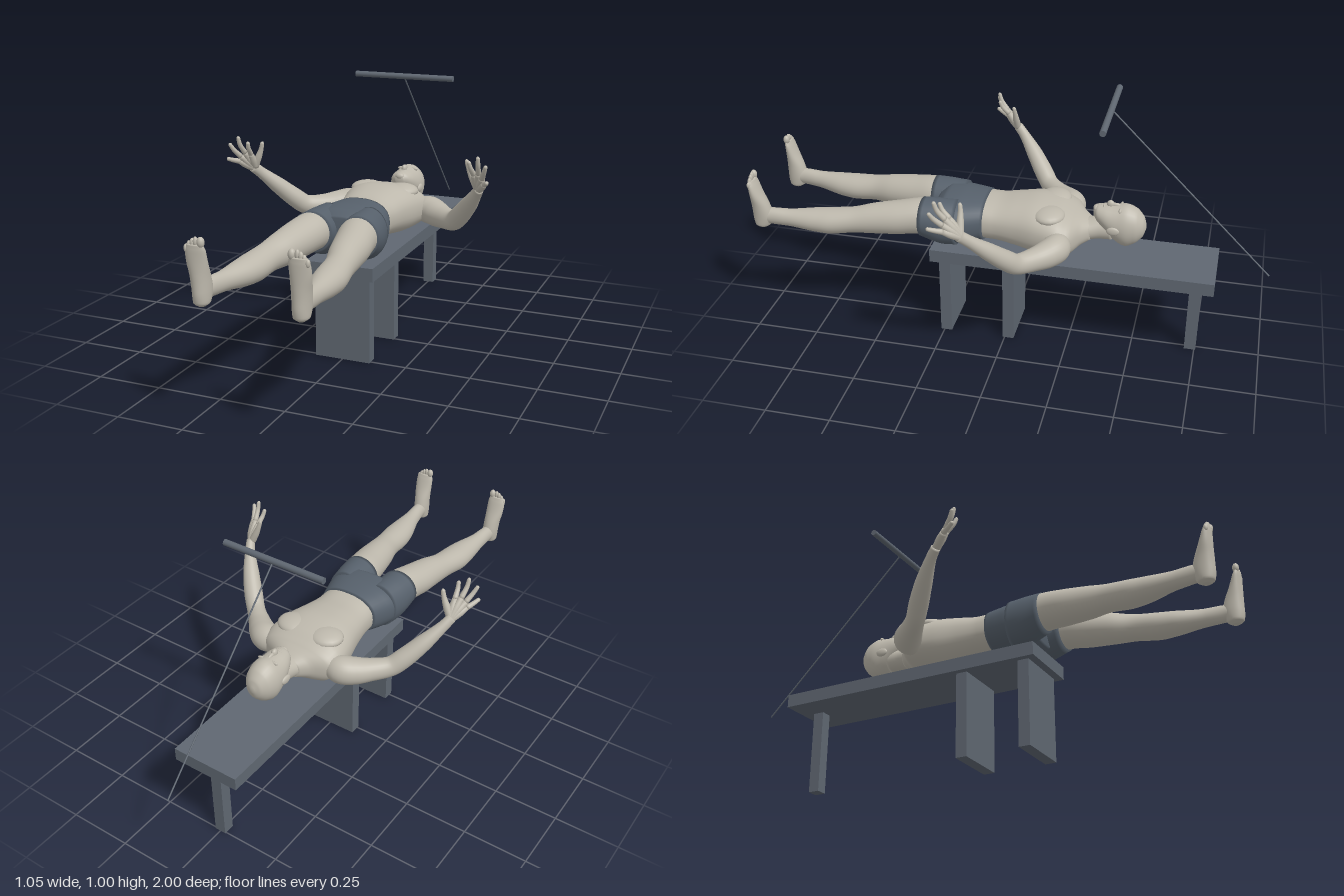
import * as THREE from 'three';

const mat = (name, color) => Object.assign(new THREE.MeshStandardMaterial({ color }), { name });
const V = (x, y, z) => new THREE.Vector3(x, y, z);
const X = V(1, 0, 0), Y = V(0, 1, 0), Z = V(0, 0, 1);

// Smooth skin over oval cross-sections [x, y, z, halfWidth, halfHeight].
// Rings lie across `axis`, or across the path itself when axis is null.
function loft(sections, axis, ref, power = 2, sides = 28, steps = 5) {
  const path = new THREE.CatmullRomCurve3(sections.map(s => V(s[0], s[1], s[2])));
  const size = new THREE.CatmullRomCurve3(sections.map(s => V(s[3], s[4], 0)));
  const n = (sections.length - 1) * steps, pos = [], idx = [];
  const ring = (t, k) => {
    const c = path.getPoint(t), r = size.getPoint(t);
    const tan = axis || path.getTangent(t);
    const side = V().crossVectors(ref, tan).normalize();
    const up = V().crossVectors(tan, side);
    for (let j = 0; j < sides; j++) {
      const a = j / sides * Math.PI * 2, co = Math.cos(a), si = Math.sin(a);
      const u = Math.sign(co) * Math.abs(co) ** (2 / power) * r.x * k;
      const v = Math.sign(si) * Math.abs(si) ** (2 / power) * r.y * k;
      pos.push(c.x + side.x * u + up.x * v, c.y + side.y * u + up.y * v, c.z + side.z * u + up.z * v);
    }
  };
  ring(0, 0);
  for (let i = 0; i <= n; i++) ring(i / n, 1);
  ring(1, 0);
  for (let i = 0; i < n + 2; i++) for (let j = 0; j < sides; j++) {
    const a = i * sides + j, b = i * sides + (j + 1) % sides;
    idx.push(a, b, b + sides, a, b + sides, a + sides);
  }
  const g = new THREE.BufferGeometry();
  g.setAttribute('position', new THREE.Float32BufferAttribute(pos, 3));
  g.setIndex(idx);
  g.computeVertexNormals();
  return g;
}

export function createModel() {
  const model = new THREE.Group();
  const skin = mat('skin', 0xbdb8ac), cloth = mat('shortsCloth', 0x56606b), paint = mat('benchPaint', 0x5f6771);

  const add = (parent, name, geo, m, x = 0, y = 0, z = 0) => {
    const mesh = new THREE.Mesh(geo, m);
    mesh.name = name;
    mesh.position.set(x, y, z);
    parent.add(mesh);
    return mesh;
  };
  const group = (name) => {
    const g = new THREE.Group();
    g.name = name;
    model.add(g);
    return g;
  };
  const blob = (parent, name, x, y, z, rx, ry, rz) =>
    add(parent, name, new THREE.SphereGeometry(1, 20, 14), skin, x, y, z).scale.set(rx, ry, rz);
  const flip = (s, sections) => sections.map(([x, ...rest]) => [x * s, ...rest]);

  // Bench: slab, two wide panel legs and one rear post
  const bench = group('bench');
  add(bench, 'benchTop', new THREE.BoxGeometry(0.27, 0.052, 1.1), paint, 0, 0.359, -0.255);
  for (const z of [0.242, -0.014])
    add(bench, 'panelLeg', new THREE.BoxGeometry(0.22, 0.336, 0.045), paint, 0, 0.168, z);
  add(bench, 'rearLeg', new THREE.BoxGeometry(0.045, 0.336, 0.045), paint, 0, 0.168, -0.733);

  // Pull bar on a slanted cable
  const pull = group('pullBar');
  const bar = add(pull, 'handleBar', new THREE.CylinderGeometry(0.012, 0.012, 0.42, 20), paint, 0, 0.99, -0.373);
  bar.rotation.z = Math.PI / 2;
  const cable = add(pull, 'cable', new THREE.CylinderGeometry(0.003, 0.003, Math.hypot(0.62, 0.625), 8), paint, 0, 0.68, -0.686);
  cable.rotation.x = Math.atan2(0.625, 0.62);

  // Torso and shorts
  const body = group('body');
  add(body, 'torso', loft([
    [0, 0.488, -0.32, 0.05, 0.038], [0, 0.488, -0.285, 0.09, 0.055], [0, 0.487, -0.25, 0.155, 0.076],
    [0, 0.494, -0.2, 0.168, 0.093], [0, 0.5, -0.12, 0.155, 0.1], [0, 0.502, -0.04, 0.134, 0.091],
    [0, 0.502, 0.04, 0.12, 0.08], [0, 0.503, 0.1, 0.117, 0.081], [0, 0.503, 0.13, 0.11, 0.075],
  ], Z, Y, 2.35, 40), skin);
  add(body, 'shortsHips', loft([
    [0, 0.503, 0.087, 0.121, 0.086], [0, 0.497, 0.14, 0.139, 0.094], [0, 0.494, 0.2, 0.155, 0.097],
    [0, 0.495, 0.25, 0.155, 0.091], [0, 0.495, 0.285, 0.1, 0.065],
  ], Z, Y, 2.35, 40), cloth);

  // Neck and head, face up
  const head = group('head');
  add(head, 'neck', loft([
    [0, 0.5, -0.4, 0.044, 0.045], [0, 0.497, -0.35, 0.046, 0.044], [0, 0.489, -0.3, 0.057, 0.044], [0, 0.487, -0.26, 0.075, 0.05],
  ], Z, Y), skin);
  add(head, 'skull', loft([
    [0, 0.522, -0.527, 0.008, 0.01], [0, 0.522, -0.517, 0.032, 0.04], [0, 0.522, -0.49, 0.054, 0.07],
    [0, 0.521, -0.45, 0.064, 0.086], [0, 0.529, -0.41, 0.061, 0.073], [0, 0.549, -0.37, 0.052, 0.05],
    [0, 0.562, -0.34, 0.037, 0.033], [0, 0.567, -0.325, 0.016, 0.015],
  ], Z, Y), skin);
  blob(head, 'nose', 0, 0.602, -0.388, 0.011, 0.017, 0.015);
  blob(head, 'noseBridge', 0, 0.6, -0.405, 0.007, 0.01, 0.022);
  blob(head, 'upperLip', 0, 0.594, -0.364, 0.018, 0.007, 0.005);
  blob(head, 'lowerLip', 0, 0.591, -0.355, 0.016, 0.007, 0.005);
  blob(head, 'chin', 0, 0.58, -0.336, 0.02, 0.014, 0.014);

  for (const s of [1, -1]) {
    const side = s > 0 ? 'left' : 'right';
    blob(head, side + 'Ear', s * 0.063, 0.52, -0.408, 0.008, 0.017, 0.025);
    blob(head, side + 'Brow', s * 0.024, 0.593, -0.428, 0.02, 0.008, 0.006);
    blob(head, side + 'Eye', s * 0.025, 0.585, -0.414, 0.012, 0.007, 0.007);
    blob(body, side + 'Pectoral', s * 0.072, 0.566, -0.165, 0.068, 0.029, 0.062);

    // Leg with foot and toes
    const leg = group(side + 'Leg');
    add(leg, 'shortsLeg', loft(flip(s, [
      [0.08, 0.495, 0.19, 0.074, 0.093], [0.086, 0.496, 0.25, 0.079, 0.092], [0.092, 0.51, 0.329, 0.078, 0.076],
    ]), Z, Y), cloth);
    add(leg, 'legSkin', loft(flip(s, [
      [0.09, 0.5, 0.25, 0.07, 0.08], [0.093, 0.512, 0.33, 0.074, 0.071], [0.108, 0.503, 0.42, 0.071, 0.067],
      [0.122, 0.493, 0.52, 0.062, 0.06], [0.137, 0.484, 0.6, 0.054, 0.051], [0.146, 0.475, 0.68, 0.058, 0.051],
      [0.152, 0.474, 0.75, 0.052, 0.046], [0.165, 0.477, 0.85, 0.033, 0.035], [0.172, 0.48, 0.92, 0.027, 0.034],
      [0.175, 0.48, 0.965, 0.027, 0.03],
    ]), Z, Y), skin);
    add(leg, 'foot', loft(flip(s, [
      [0.175, 0.43, 0.963, 0.012, 0.014], [0.175, 0.442, 0.962, 0.027, 0.031], [0.175, 0.48, 0.957, 0.031, 0.041],
      [0.177, 0.53, 0.963, 0.033, 0.035], [0.18, 0.58, 0.974, 0.037, 0.024], [0.18, 0.62, 0.982, 0.037, 0.016],
      [0.179, 0.64, 0.986, 0.03, 0.011],
    ]), Y, Z), skin);
    for (let i = 0; i < 5; i++) {
      const r = i ? 0.0082 : 0.0125;
      blob(leg, 'toe', s * (i ? 0.164 + i * 0.0115 : 0.157), 0.65 - i * i * 0.0016 - (i ? 0 : 0.002), 0.986, r, 0.018 - i * 0.001, r);
    }

    // Arm raised outward from the shoulder
    const arm = group(side + 'Arm');
    add(arm, 'armSkin', loft(flip(s, [
      [0.12, 0.485, -0.215, 0.04, 0.045], [0.175, 0.485, -0.212, 0.055, 0.055], [0.215, 0.48, -0.185, 0.052, 0.052],
      [0.26, 0.479, -0.145, 0.043, 0.044], [0.315, 0.487, -0.095, 0.036, 0.039], [0.35, 0.52, -0.062, 0.037, 0.038],
      [0.4, 0.58, -0.01, 0.032, 0.032], [0.445, 0.64, 0.045, 0.02, 0.022], [0.463, 0.668, 0.075, 0.017, 0.021],
    ]), null, Y), skin);

    // Hand: [knuckle, middle joint, tip] for each finger, with the palm running to the knuckles
    const wrist = [0.458, 0.66, 0.068];
    const fingers = [
      [[0.452, 0.727, 0.112], [0.447, 0.755, 0.138], [0.443, 0.782, 0.15]],
      [[0.472, 0.733, 0.122], [0.478, 0.768, 0.148], [0.48, 0.803, 0.16]],
      [[0.488, 0.718, 0.128], [0.502, 0.747, 0.154], [0.513, 0.775, 0.17]],
      [[0.496, 0.697, 0.125], [0.51, 0.707, 0.155], [0.52, 0.716, 0.177]],
    ];
    for (const [k, m, t] of fingers) {
      add(arm, 'palm', loft(flip(s, [
        [...wrist, 0.015, 0.015], [...k.map((c, i) => (c + wrist[i]) / 2), 0.0155, 0.0155], [...k, 0.0105, 0.0105],
      ]), null, X, 2, 14), skin);
      add(arm, 'finger', loft(flip(s, [
        [...k, 0.0105, 0.0105], [...m, 0.0088, 0.0088], [...t.map((c, i) => c * 0.85 + m[i] * 0.15), 0.0072, 0.0072], [...t, 0.003, 0.003],
      ]), null, X, 2, 12), skin);
    }
    add(arm, 'thumb', loft(flip(s, [
      [0.455, 0.67, 0.075, 0.015, 0.015], [0.437, 0.708, 0.078, 0.0135, 0.0135],
      [0.423, 0.742, 0.08, 0.0095, 0.0095], [0.416, 0.767, 0.083, 0.0075, 0.0075], [0.414, 0.773, 0.083, 0.003, 0.003],
    ]), null, X, 2, 14), skin);
  }
  return model;
}
